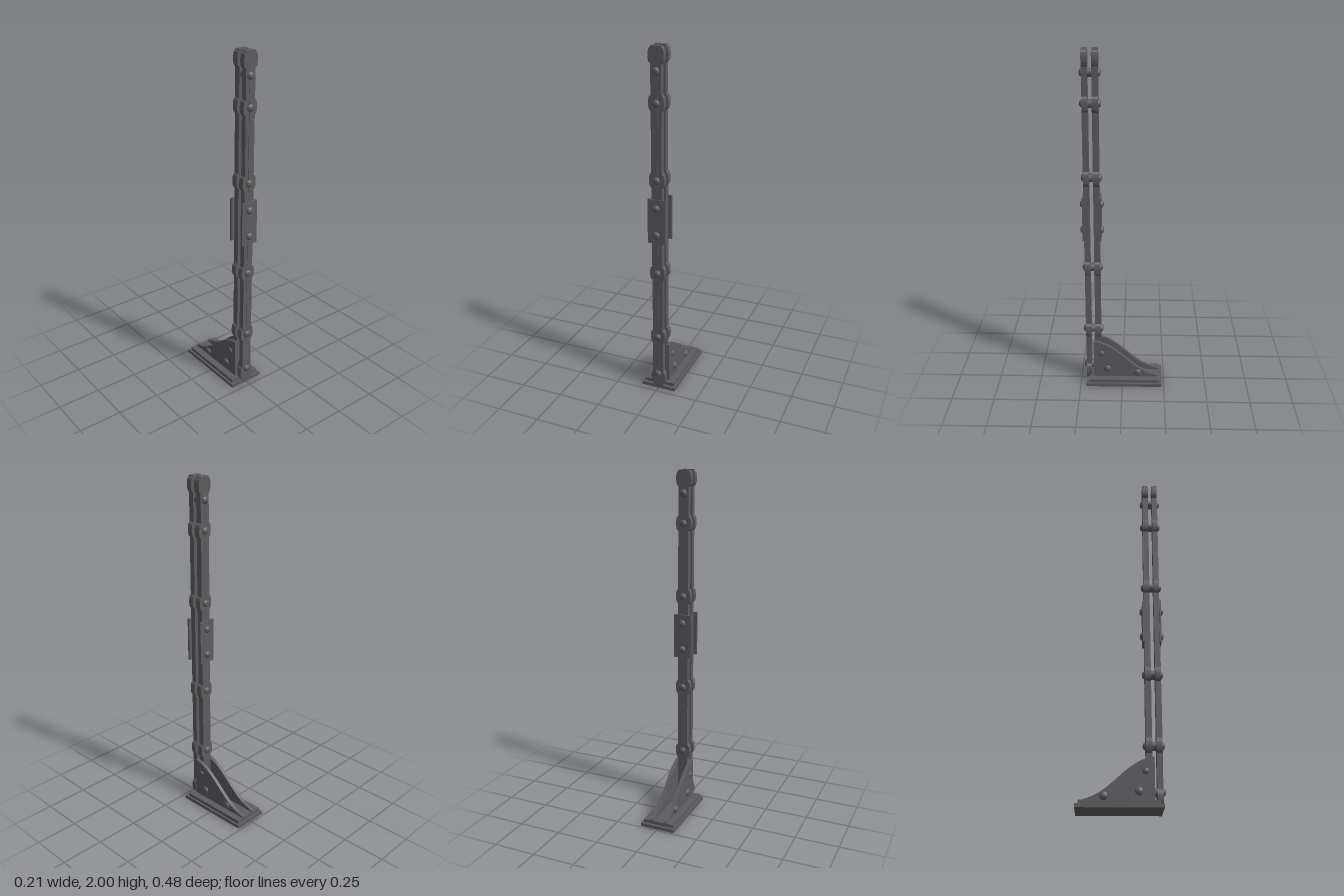
import * as THREE from 'three';

export function createModel() {
  const model = new THREE.Group();
  model.name = 'rivetedPost';
  const iron = new THREE.MeshStandardMaterial({ color: 0x5c5c5f });
  iron.name = 'dark iron';

  const add = (name, geometry, x = 0, y = 0, z = 0) => {
    const mesh = new THREE.Mesh(geometry, iron);
    mesh.name = name;
    mesh.position.set(x, y, z);
    model.add(mesh);
    return mesh;
  };
  // box given by its min and max corners
  const box = (name, x0, x1, y0, y1, z0, z1) =>
    add(name, new THREE.BoxGeometry(x1 - x0, y1 - y0, z1 - z0),
      (x0 + x1) / 2, (y0 + y1) / 2, (z0 + z1) / 2);
  const extrude = (shape, depth) =>
    new THREE.ExtrudeGeometry(shape, { depth, bevelEnabled: false });

  // domed rivet head, its axis along local +y
  const rivetGeometry = (r, h) => new THREE.LatheGeometry(
    [[r, 0], [r, h * 0.3], [r * 0.85, h * 0.65], [r * 0.5, h * 0.92], [0, h]]
      .map(([a, b]) => new THREE.Vector2(a, b)), 16);

  // stepped base
  box('basePlate', -0.104, 0.104, 0, 0.02, -0.238, 0.215);
  box('baseStep', -0.092, 0.092, 0.02, 0.04, -0.222, 0.197);

  // upright bar outline, swelling around each bolt
  const half = 0.03, swell = 0.014, reach = 0.043;
  const right = [[half, 0.02]];
  for (const y of [0.07, 0.345, 0.75, 1.295, 1.71, 1.953]) {
    for (let i = 0; i <= 8; i++) {
      const t = i / 4 - 1;
      right.push([half + swell * Math.sqrt(Math.max(0, 1 - t * t)), y + t * reach]);
    }
  }
  right.push([half, 2]);
  const left = right.map(([x, y]) => [-x, y]).reverse();
  const barShape = new THREE.Shape([...right, ...left].map(([x, y]) => new THREE.Vector2(x, y)));
  add('frontBar', extrude(barShape, 0.031), 0, 0, 0.185);
  add('backBar', extrude(barShape, 0.034), 0, 0, 0.128);
  box('frontRib', -0.008, 0.008, 0.3, 1.82, 0.214, 0.219);

  // splice plates at mid height
  box('frontSplicePlate', -0.051, 0.051, 0.935, 1.19, 0.214, 0.224);
  box('backSplicePlate', -0.051, 0.051, 0.935, 1.19, 0.119, 0.13);

  // bolts through both bars, with spacers between them
  for (const y of [0.1, 0.345, 0.75, 0.985, 1.14, 1.295, 1.71, 1.875]) {
    const onPlate = y > 0.9 && y < 1.2;
    const head = rivetGeometry(0.021, 0.016);
    add('frontRivet', head, 0, y, onPlate ? 0.223 : 0.215).rotation.x = Math.PI / 2;
    add('backRivet', head, 0, y, onPlate ? 0.12 : 0.129).rotation.x = -Math.PI / 2;
    if (!onPlate) {
      const spacer = new THREE.CylinderGeometry(0.024, 0.024, 0.03, 16);
      add('spacer', spacer, 0, y, 0.174).rotation.x = Math.PI / 2;
    }
  }

  // curved side brackets with rivets
  const crest = [[0.172, 0.278], [0.13, 0.268], [0.077, 0.243], [0.018, 0.2],
    [-0.045, 0.143], [-0.098, 0.1], [-0.15, 0.07], [-0.218, 0.046]]
    .map(([z, y]) => new THREE.Vector2(-z, y));
  const bracket = new THREE.Shape([
    new THREE.Vector2(0.218, 0.035), new THREE.Vector2(-0.172, 0.035),
    ...new THREE.SplineCurve(crest).getPoints(28)]);
  for (const side of [1, -1]) {
    // shape x runs toward the back after the turn
    add('sideBracket', extrude(bracket, 0.021), side > 0 ? 0.031 : -0.052)
      .rotation.y = Math.PI / 2;
    for (const [z, y, r] of [[0.125, 0.2, 0.017], [0.09, 0.095, 0.022], [-0.092, 0.07, 0.022]]) {
      add('bracketRivet', rivetGeometry(r, r * 0.65), side * 0.051, y, z)
        .rotation.z = -side * Math.PI / 2;
    }
  }
  return model;
}
